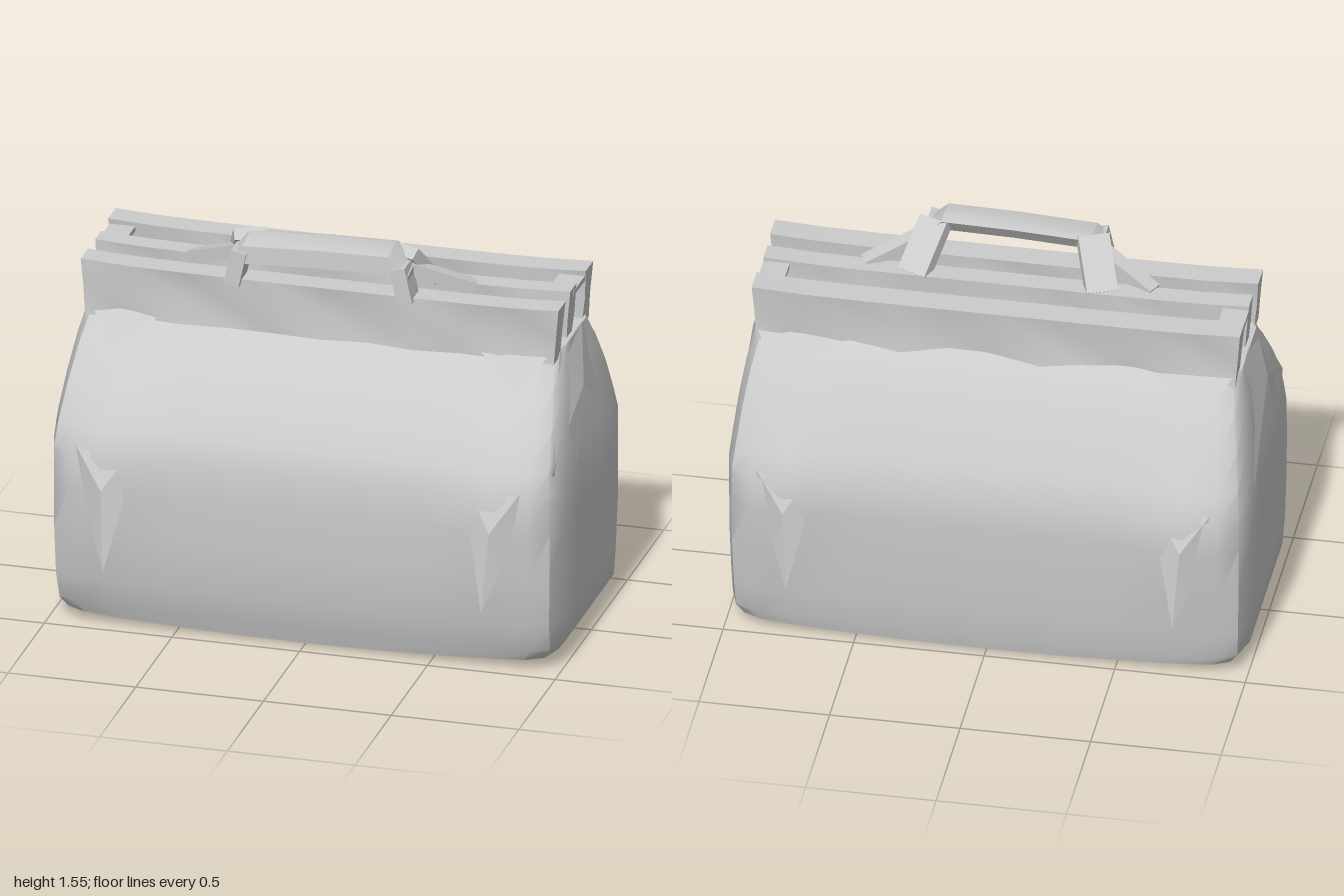
import * as THREE from 'three';
import { toCreasedNormals } from 'three/addons/utils/BufferGeometryUtils.js';

const leather = new THREE.MeshStandardMaterial({ color: 0xcccccc, side: THREE.DoubleSide });

function build(name, points, index, crease) {
  let g = new THREE.BufferGeometry();
  g.setAttribute('position', new THREE.Float32BufferAttribute(points.flat(), 3));
  g.setIndex(index);
  g = toCreasedNormals(g, crease);
  const mesh = new THREE.Mesh(g, leather);
  mesh.name = name;
  return mesh;
}

// Skin over a row of closed sections, capped at both ends
function loft(name, rings, crease) {
  const n = rings[0].length, points = rings.flat(), index = [];
  for (let i = 0; i < rings.length - 1; i++) {
    for (let j = 0; j < n; j++) {
      const k = (j + 1) % n, a = i * n + j, b = i * n + k;
      index.push(a, b, b + n, a, b + n, a + n);
    }
  }
  [rings[0], rings[rings.length - 1]].forEach((ring, end) => {
    const c = points.length, base = end ? (rings.length - 1) * n : 0;
    points.push([0, 1, 2].map(k => ring.reduce((s, p) => s + p[k], 0) / n));
    for (let j = 0; j < n; j++) {
      const a = base + j, b = base + (j + 1) % n;
      index.push(c, end ? a : b, end ? b : a);
    }
  });
  return build(name, points, index, crease);
}

// One horizontal section of the bag, with swollen corners and lifted ends
function bagSection([y, hx, zf, zb, bulge, lift]) {
  const mid = (zf + zb) / 2;
  const half = [[0, 1, 0], [0.3, 1, 0], [0.5, 1, 0], [0.66, 1, 0.5], [0.77, 1, 1], [0.9, 0.99, 0.4],
    [0.97, 0.93, 0], [1, 0.72, 0], [1, 0.35, 0]];
  const quarter = (sx, sz) => half.map(([u, v, b]) => {
    const edge = sz > 0 ? zf : zb;
    return [sx * u * hx, y + lift * u * u, mid + (edge - mid) * v + sz * b * bulge];
  });
  const fr = quarter(1, 1), br = quarter(1, -1).reverse();
  const bl = quarter(-1, -1).slice(1), fl = quarter(-1, 1).reverse().slice(0, -1);
  return [...fr, ...br, ...bl, ...fl];
}

// Stiff frame bar running along x, creased unevenly like folded leather
function rim(name, z, low, high, top, phase, hx) {
  const rings = [];
  const steps = 10;
  for (let i = 0; i <= steps; i++) {
    const u = i / steps * 2 - 1, end = Math.abs(u) ** 6;
    const wave = 0.016 * Math.sin(i * 1.9 + phase), pinch = 0.012 * Math.cos(i * 2.6 + phase);
    const x = u * hx, t = top + 0.012 * end;
    rings.push([
      [x * 0.98, 1.17, z - low + wave], [x * 0.99, 1.28, z - low * 0.9 + pinch], [x, t, z - high],
      [x, t, z + high], [x * 0.99, 1.28, z + low * 0.9 + wave], [x * 0.98, 1.17, z + low + pinch],
    ]);
  }
  return loft(name, rings, 0.6);
}

// Straight strap between two points
function strap(name, a, b, width, thick) {
  const p = new THREE.Vector3(...a), q = new THREE.Vector3(...b);
  const mesh = new THREE.Mesh(new THREE.BoxGeometry(width, thick, p.distanceTo(q)), leather);
  mesh.position.copy(p).lerp(q, 0.5);
  mesh.lookAt(q);
  mesh.name = name;
  return mesh;
}

export function createModel() {
  const bag = new THREE.Group();
  bag.name = 'bag';

  // Body: height, half length, front z, back z, corner bulge, end lift
  const sections = [
    [0.005, 0.8, 0.40, -0.42, 0, 0.02],
    [0.015, 0.96, 0.44, -0.465, 0, 0.035],
    [0.08, 0.99, 0.46, -0.48, 0, 0.01],
    [0.2, 0.995, 0.495, -0.495, 0, 0],
    [0.4, 1, 0.505, -0.51, 0.015, 0],
    [0.58, 1, 0.51, -0.515, 0.035, 0],
    [0.72, 1, 0.505, -0.515, 0.035, 0],
    [0.82, 0.99, 0.475, -0.475, 0.02, 0],
    [0.95, 0.975, 0.385, -0.415, 0.01, 0],
    [1.08, 0.955, 0.285, -0.34, 0, 0],
    [1.17, 0.935, 0.205, -0.275, 0, 0],
    [1.205, 0.93, 0.17, -0.24, 0, 0],
  ];
  bag.add(loft('body', sections.map(bagSection), 0.75));

  // Three frame bars across the mouth
  bag.add(rim('frontRim', 0.175, 0.045, 0.05, 1.38, 0.4, 0.935));
  bag.add(rim('middleRim', 0.0, 0.04, 0.042, 1.385, 2.1, 0.93));
  bag.add(rim('backRim', -0.205, 0.045, 0.052, 1.39, 3.7, 0.935));

  // Handle arching forward from the middle bar to the front bar
  const handle = new THREE.Group();
  handle.name = 'handle';
  handle.add(loft('grip', [-0.35, -0.3, 0, 0.27, 0.35].map((x, i) => {
    const y = [1.46, 1.5, 1.515, 1.52, 1.45][i];
    return [[x, y - 0.03, 0.13], [x, y + 0.03, 0.09], [x, y + 0.04, 0.13], [x, y + 0.02, 0.235], [x, y - 0.05, 0.24], [x, y - 0.04, 0.18]];
  }), 0.6));
  for (const s of [-1, 1]) {
    handle.add(strap('handleLeg', [s * 0.36, 1.37, -0.01], [s * 0.3, 1.53, 0.13], 0.12, 0.05));
    handle.add(strap('handleFoot', [s * 0.31, 1.5, 0.2], [s * 0.34, 1.36, 0.2], 0.1, 0.06));
    handle.add(strap('handleAnchor', [s * 0.32, 1.47, 0.14], [s * 0.55, 1.37, 0.03], 0.06, 0.05));
  }
  bag.add(handle);

  for (const s of [-1, 1]) {
    // Folded gusset flaps on each end
    bag.add(build('endFlap', [
      [s * 0.92, 1.2, 0.15], [s * 0.97, 0.81, 0.44], [s * 0.985, 1.03, 0.05],
      [s * 1, 0.67, 0.22], [s * 0.93, 1.21, -0.12], [s * 1, 0.7, -0.36],
      [s * 0.95, 1.03, -0.24],
    ], [0, 1, 2, 1, 3, 2, 0, 2, 4, 2, 5, 4, 4, 5, 6], 0.1));
    // Small crease tying the bars together at the mouth
    bag.add(strap('mouthTie', [s * 0.88, 1.37, -0.01], [s * 0.88, 1.37, -0.19], 0.1, 0.02));

    for (const f of [-1, 1]) {
      // Loose pointed tucks at the four corners
      bag.add(build('cornerTuck', [
        [s * 0.87, 0.76, f * 0.525], [s * 0.69, 0.7, f * 0.52], [s * 0.68, 0.55, f * 0.535],
        [s * 0.74, 0.29, f * 0.61], [s * 0.83, 0.53, f * 0.53], [s * 0.76, 0.6, f * 0.57],
      ], [0, 1, 5, 1, 2, 5, 2, 3, 5, 3, 4, 5, 4, 0, 5, 2, 4, 3], 0.2));
      // Narrow folds under the rim near the ends
      const top = f > 0 ? 0.2 : -0.27;
      bag.add(build('rimFold', [
        [s * 0.91, 1.22, top], [s * 0.6, 1.21, top], [s * 0.79, 1.07, top + f * 0.11],
      ], [0, 1, 2], 0.2));
    }
  }
  return bag;
}
